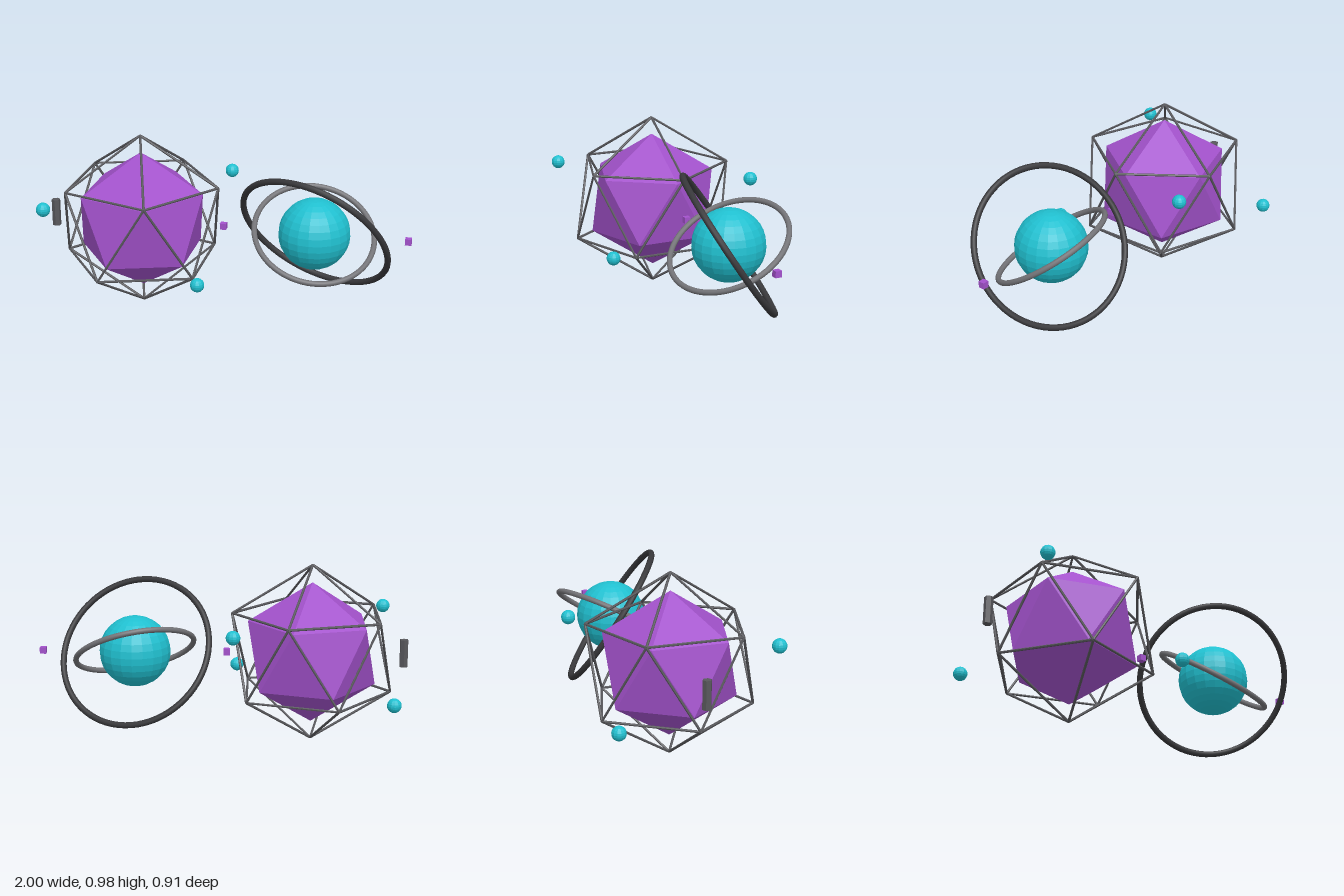
import * as THREE from 'three';
import { ConvexGeometry } from 'three/addons/geometries/ConvexGeometry.js';

const mat = (name, color, flatShading = true) =>
  new THREE.MeshStandardMaterial({ name, color, flatShading });

const UP = new THREE.Vector3(0, 1, 0);
const FORWARD = new THREE.Vector3(0, 0, 1);

// Corners of an icosahedron standing on one corner
function icosaPoints(r) {
  const points = [new THREE.Vector3(0, r, 0), new THREE.Vector3(0, -r, 0)];
  const h = r / Math.sqrt(5);
  for (let i = 0; i < 5; i++) {
    const a = (i * 2 * Math.PI) / 5;
    points.push(new THREE.Vector3(2 * h * Math.cos(a), h, 2 * h * Math.sin(a)));
    points.push(new THREE.Vector3(-2 * h * Math.cos(a), -h, -2 * h * Math.sin(a)));
  }
  return points;
}

export function createModel() {
  const purple = mat('purple', 0xa352cc);
  const cyan = mat('cyan', 0x20c0d0);
  const frameGrey = mat('frame grey', 0x58585c);
  const darkGrey = mat('dark grey', 0x38383b, false);
  const lightGrey = mat('light grey', 0x737377, false);

  const model = new THREE.Group();
  model.name = 'crystalAndOrb';

  function add(parent, name, geometry, material, x = 0, y = 0, z = 0) {
    const mesh = new THREE.Mesh(geometry, material);
    mesh.name = name;
    mesh.position.set(x, y, z);
    parent.add(mesh);
    return mesh;
  }

  // Crystal cluster
  const crystal = new THREE.Group();
  crystal.name = 'crystalCluster';
  crystal.position.set(-0.48, 0.489, 0);
  model.add(crystal);
  add(crystal, 'crystal', new ConvexGeometry(icosaPoints(0.387)), purple);

  // Cage: one thin bar along every edge
  const cage = new THREE.Group();
  cage.name = 'cage';
  crystal.add(cage);
  const R = 0.482;
  const corners = icosaPoints(R);
  const bar = new THREE.CylinderGeometry(0.0068, 0.0068, R * 1.0515, 6);
  corners.forEach((a, i) => corners.slice(i + 1).forEach((b) => {
    if (a.distanceTo(b) > R * 1.1) return;
    const mesh = add(cage, 'cageBar', bar, frameGrey);
    mesh.position.addVectors(a, b).multiplyScalar(0.5);
    mesh.quaternion.setFromUnitVectors(UP, b.clone().sub(a).normalize());
  }));

  // Four beads around the cage on alternate corners of a box
  const bead = new THREE.SphereGeometry(0.038, 12, 10);
  for (const sx of [-1, 1]) {
    for (const sz of [-1, 1]) {
      add(crystal, 'bead', bead, cyan, sx * 0.415, -sx * sz * 0.175, sz * 0.415);
    }
  }

  // Small hexagonal rod beside the cage
  add(crystal, 'rod', new THREE.CylinderGeometry(0.024, 0.024, 0.15, 6), frameGrey, -0.499, 0, 0);

  // Orb with two tilted rings
  const orb = new THREE.Group();
  orb.name = 'orbCluster';
  orb.position.set(0.48, 0.49, 0);
  model.add(orb);
  add(orb, 'orb', new THREE.SphereGeometry(0.194, 20, 16), cyan);

  const ring = (name, radius, tube, material, ...axis) => {
    const mesh = add(orb, name, new THREE.TorusGeometry(radius, tube, 10, 72), material);
    mesh.quaternion.setFromUnitVectors(FORWARD, new THREE.Vector3(...axis).normalize());
  };
  ring('outerRing', 0.425, 0.017, darkGrey, -0.283, -0.551, 0.786);
  ring('innerRing', 0.325, 0.015, lightGrey, 0.21, 0.843, 0.494);

  // Cubes on either side of the orb
  const cube = new THREE.BoxGeometry(0.034, 0.034, 0.034);
  for (const x of [-0.5, 0.503]) add(orb, 'cube', cube, purple, x, 0, 0);

  return model;
}
